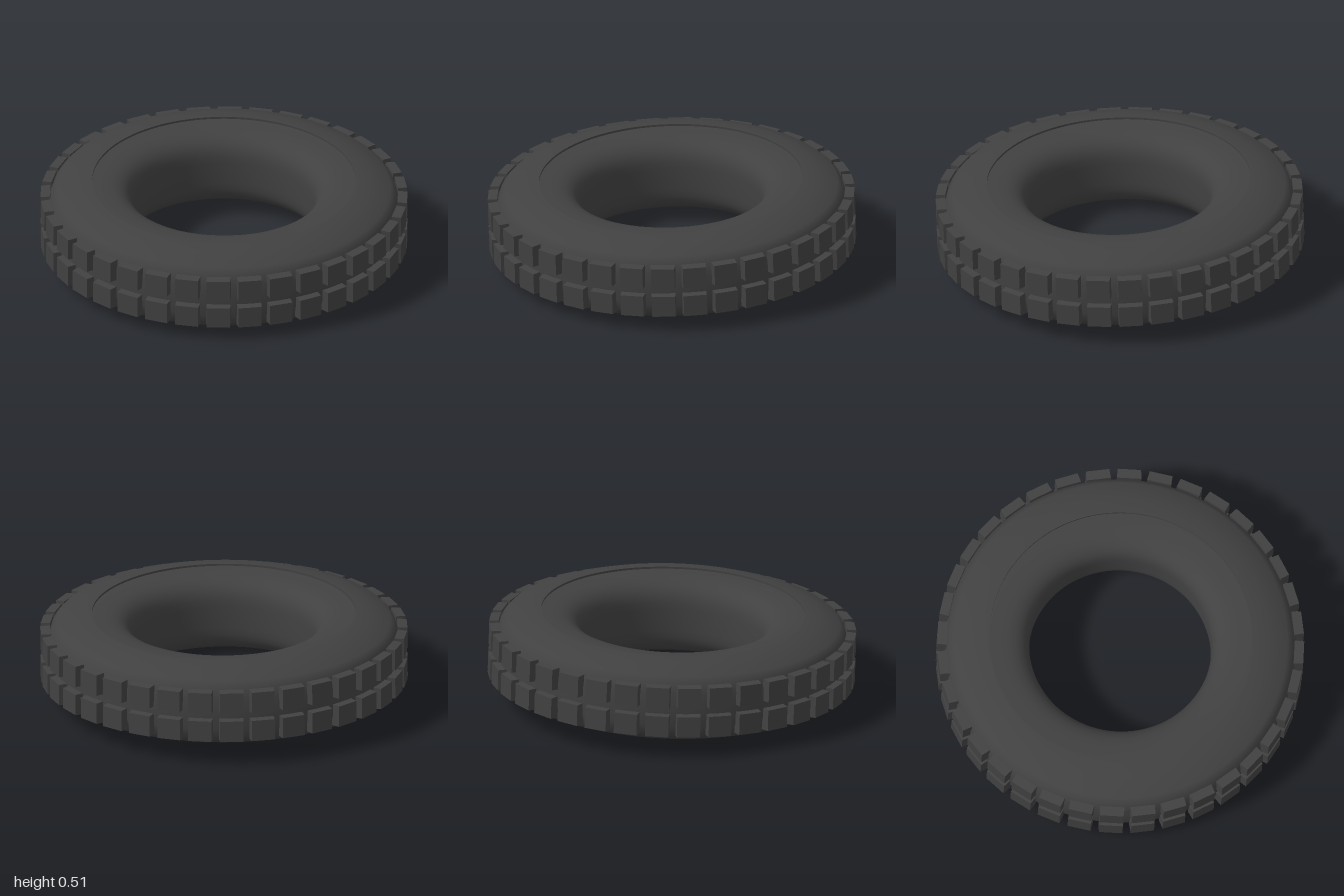
import * as THREE from 'three';

const rubber = new THREE.MeshStandardMaterial({ color: 0x414141 });
rubber.name = 'dark rubber';

// Ring turned from a profile of (radius, height) points
function ring(name, points) {
  const profile = points.map(([r, y]) => new THREE.Vector2(r, y));
  const mesh = new THREE.Mesh(new THREE.LatheGeometry(profile, 96), rubber);
  mesh.name = name;
  return mesh;
}

// Mirror a half profile over the middle plane; the points run from y = 0 upward
const mirrored = half => [...half.slice(1).reverse().map(([r, y]) => [r, -y]), ...half];

// Box whose outer (+z) face is slightly smaller than its base
function blockGeometry(w, h, d, taper) {
  const g = new THREE.BoxGeometry(w, h, d);
  const p = g.attributes.position;
  for (let i = 0; i < p.count; i++) {
    if (p.getZ(i) > 0) p.setXY(i, p.getX(i) * taper, p.getY(i) * taper);
  }
  const flat = g.toNonIndexed();
  flat.computeVertexNormals();
  return flat;
}

export function createModel() {
  const model = new THREE.Group();
  model.name = 'tire';

  // The tire lies almost flat, with a slight lean
  const tire = new THREE.Group();
  tire.name = 'leaningTire';
  tire.position.y = 0.2535;
  tire.rotation.set(0.025, 0, -0.025);
  model.add(tire);

  // Outer shell: tread base, shoulders and outer sidewalls
  const outer = mirrored([[0.955, 0], [0.952, 0.09], [0.935, 0.145], [0.905, 0.178], [0.8, 0.219], [0.717, 0.228]]);
  tire.add(ring('outerShell', outer));

  // Inner shell: inner sidewalls and rounded opening
  const inner = mirrored([
    [0.495, 0], [0.495, 0.06], [0.498, 0.1], [0.506, 0.13], [0.52, 0.157],
    [0.542, 0.18], [0.572, 0.198], [0.61, 0.209], [0.66, 0.215], [0.717, 0.217],
  ]);
  tire.add(ring('innerShell', inner.reverse()));

  // Small step between the outer and inner sidewalls
  tire.add(ring('upperLip', [[0.717, 0.228], [0.717, 0.217]]));
  tire.add(ring('lowerLip', [[0.717, -0.217], [0.717, -0.228]]));

  // Two rows of tread blocks
  const count = 36, outerRadius = 0.996, depth = 0.052;
  const geometry = blockGeometry(0.134, 0.124, depth, 0.95);
  for (const [name, y] of [['upperTread', 0.082], ['lowerTread', -0.082]]) {
    const row = new THREE.Group();
    row.name = name;
    for (let i = 0; i < count; i++) {
      const a = (i / count) * Math.PI * 2;
      const block = new THREE.Mesh(geometry, rubber);
      block.name = 'treadBlock';
      block.position.set(Math.sin(a), 0, Math.cos(a)).multiplyScalar(outerRadius - depth / 2);
      block.position.y = y;
      block.rotation.y = a;
      row.add(block);
    }
    tire.add(row);
  }
  return model;
}
